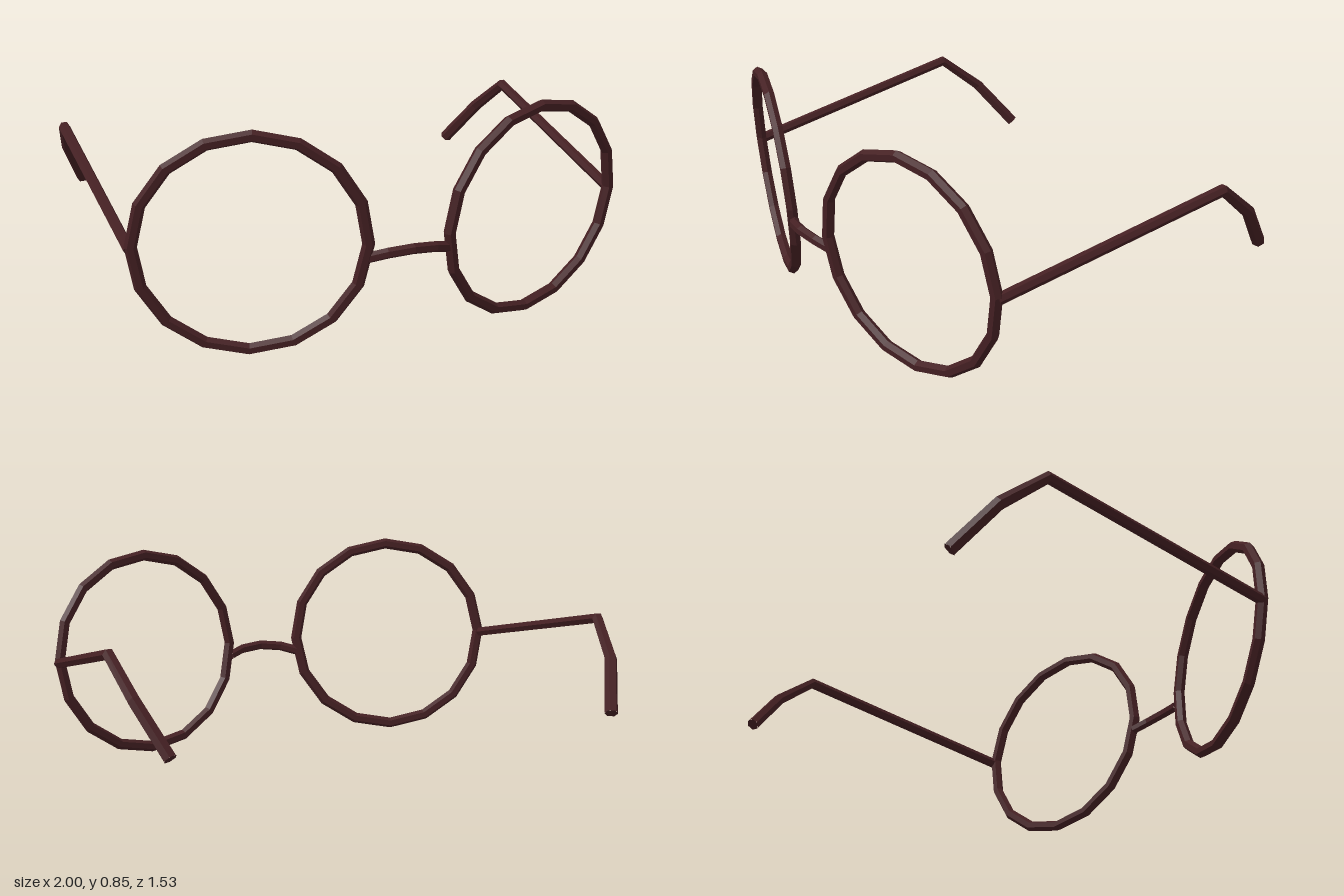
import * as THREE from 'three';

const SIDES = 6;
const frameBrown = new THREE.MeshStandardMaterial({ color: 0x452023, flatShading: true });
frameBrown.name = 'frameBrown';

// Curve that visits each given point, with averaged tangents at the bends
class Polyline extends THREE.Curve {
  constructor(points) {
    super();
    this.points = points.map((p) => new THREE.Vector3(...p));
  }
  getPointAt(t, target = new THREE.Vector3()) {
    return target.copy(this.points[Math.round(t * (this.points.length - 1))]);
  }
  getPoint(t, target) {
    return this.getPointAt(t, target);
  }
  getTangentAt(t, target = new THREE.Vector3()) {
    const p = this.points, i = Math.round(t * (p.length - 1));
    target.set(0, 0, 0);
    if (i > 0) target.add(p[i].clone().sub(p[i - 1]).normalize());
    if (i < p.length - 1) target.add(p[i + 1].clone().sub(p[i]).normalize());
    return target.normalize();
  }
}

// Bent wire with its own radius at each point and a flat cap at each end
function wire(name, points, radii) {
  const group = new THREE.Group();
  group.name = name;
  const curve = new Polyline(points);
  const geometry = new THREE.TubeGeometry(curve, points.length - 1, 1, SIDES);
  const position = geometry.attributes.position;
  const v = new THREE.Vector3();
  for (let k = 0; k < position.count; k++) {
    const i = Math.floor(k / (SIDES + 1));
    v.fromBufferAttribute(position, k).sub(curve.points[i]);
    v.multiplyScalar(radii[i]).add(curve.points[i]);
    position.setXYZ(k, v.x, v.y, v.z);
  }
  const tube = new THREE.Mesh(geometry, frameBrown);
  tube.name = name + 'Wire';
  group.add(tube);
  for (const [t, sign, radius] of [[0, -1, radii[0]], [1, 1, radii.at(-1)]]) {
    const cap = new THREE.Mesh(new THREE.CircleGeometry(radius, SIDES), frameBrown);
    cap.name = name + 'Cap';
    const end = curve.getPointAt(t);
    cap.position.copy(end);
    cap.lookAt(end.clone().addScaledVector(curve.getTangentAt(t), sign));
    group.add(cap);
  }
  return group;
}

export function createModel() {
  const glasses = new THREE.Group();
  glasses.name = 'glasses';

  // Slightly wide, faceted lens rim
  const rimGeometry = new THREE.TorusGeometry(0.405, 0.0225, SIDES, 16).scale(1.02, 1, 1);

  for (const [side, s] of [['left', 1], ['right', -1]]) {
    // Rim swept back at the outside and tipped forward at the top
    const rim = new THREE.Mesh(rimGeometry, frameBrown);
    rim.name = side + 'Rim';
    rim.position.set(s * 0.555, 0.427, 0.597);
    rim.rotation.set(0.087, s * 0.275, 0);
    glasses.add(rim);

    // Temple arm with its thickening ear hook
    glasses.add(wire(side + 'Temple', [
      [s * 0.957, 0.427, 0.485],
      [s * 0.978, 0.633, -0.443],
      [s * 0.937, 0.503, -0.608],
      [s * 0.855, 0.327, -0.747],
    ], [0.021, 0.0225, 0.0245, 0.0255]));
  }

  // Arched nose bridge
  glasses.add(wire('bridge', [
    [-0.155, 0.362, 0.7],
    [-0.09, 0.381, 0.73],
    [0, 0.39, 0.744],
    [0.09, 0.381, 0.73],
    [0.155, 0.362, 0.7],
  ], [0.02, 0.02, 0.02, 0.02, 0.02]));

  return glasses;
}
